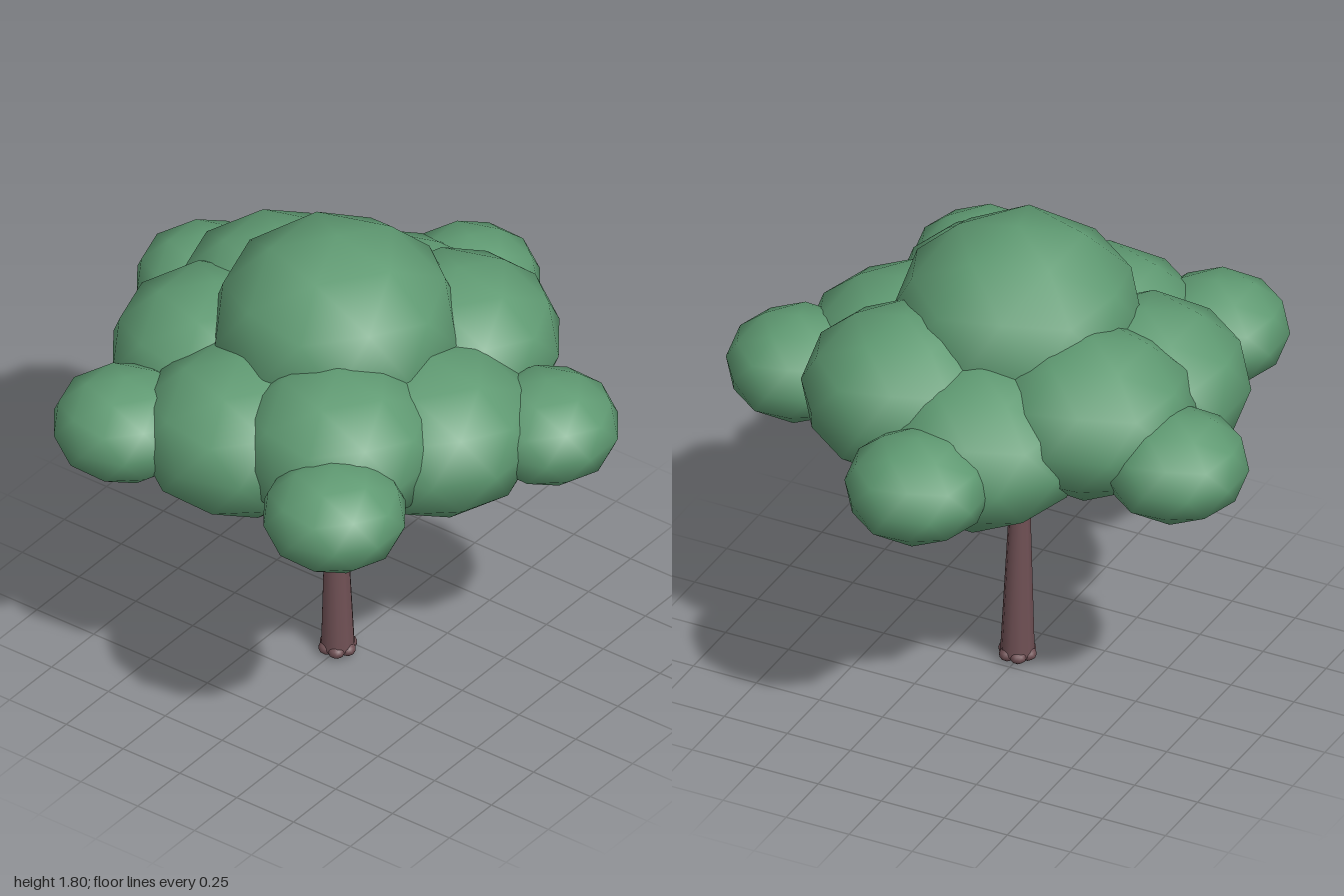
import * as THREE from 'three';

export function createModel() {
  const tree = new THREE.Group();
  tree.name = 'tree';
  const leaf = new THREE.MeshStandardMaterial({ color: 0x5f9a72 });
  leaf.name = 'leaf green';
  const bark = new THREE.MeshStandardMaterial({ color: 0x6f5054 });
  bark.name = 'bark brown';
  const CZ = 0.07; // trunk axis sits slightly forward

  // Smooth 80-face ball with a vertex pointing straight up
  const ball = new THREE.IcosahedronGeometry(1, 1);
  ball.rotateZ(-Math.atan(2 / (1 + Math.sqrt(5))));

  function blob(name, mat, x, y, z, r, ry) {
    const m = new THREE.Mesh(ball, mat);
    m.name = name;
    m.position.set(x, y, z);
    m.scale.set(r, ry, r);
    tree.add(m);
  }

  // Tapered limb between two points
  function limb(name, from, to, r0, r1, sides) {
    const dir = to.clone().sub(from);
    const m = new THREE.Mesh(new THREE.CylinderGeometry(r1, r0, dir.length(), sides), bark);
    m.name = name;
    m.position.copy(from).addScaledVector(dir, 0.5);
    m.quaternion.setFromUnitVectors(new THREE.Vector3(0, 1, 0), dir.normalize());
    tree.add(m);
  }

  // Trunk and root lumps
  limb('trunk', new THREE.Vector3(0.005, 0.03, CZ), new THREE.Vector3(-0.005, 0.69, CZ), 0.062, 0.036, 10);
  for (let i = 0; i < 6; i++) {
    const a = (i / 6) * Math.PI * 2;
    blob('root', bark, 0.005 + Math.cos(a) * 0.042, 0.03, CZ + Math.sin(a) * 0.042, 0.031, 0.026);
  }
  blob('rootCore', bark, 0.005, 0.028, CZ, 0.045, 0.028);

  // Crown
  blob('crownTop', leaf, 0, 1.42, CZ, 0.45, 0.38);

  // Ring of seven large clumps, each held by a branch: x, y, z, radius
  const ring = [
    [0.43, 1.16, 0.08, 0.39], [0.26, 1.22, 0.41, 0.37], [-0.11, 1.16, 0.49, 0.38],
    [-0.43, 1.2, 0.21, 0.38], [-0.39, 1.25, -0.12, 0.38], [-0.07, 1.16, -0.36, 0.38],
    [0.26, 1.26, -0.3, 0.375],
  ];
  const fork = new THREE.Vector3(-0.003, 0.66, CZ);
  for (const [x, y, z, r] of ring) {
    blob('largeClump', leaf, x, y, z, r, 0.3);
    limb('branch', fork, new THREE.Vector3(x, y, z), 0.022, 0.018, 7);
  }

  // Five small outer clumps
  for (let i = 0; i < 5; i++) {
    const a = (i / 5) * Math.PI * 2;
    blob('smallClump', leaf, Math.sin(a) * 0.785, 1.155, CZ - Math.cos(a) * 0.785, 0.263, 0.197);
  }
  return tree;
}
